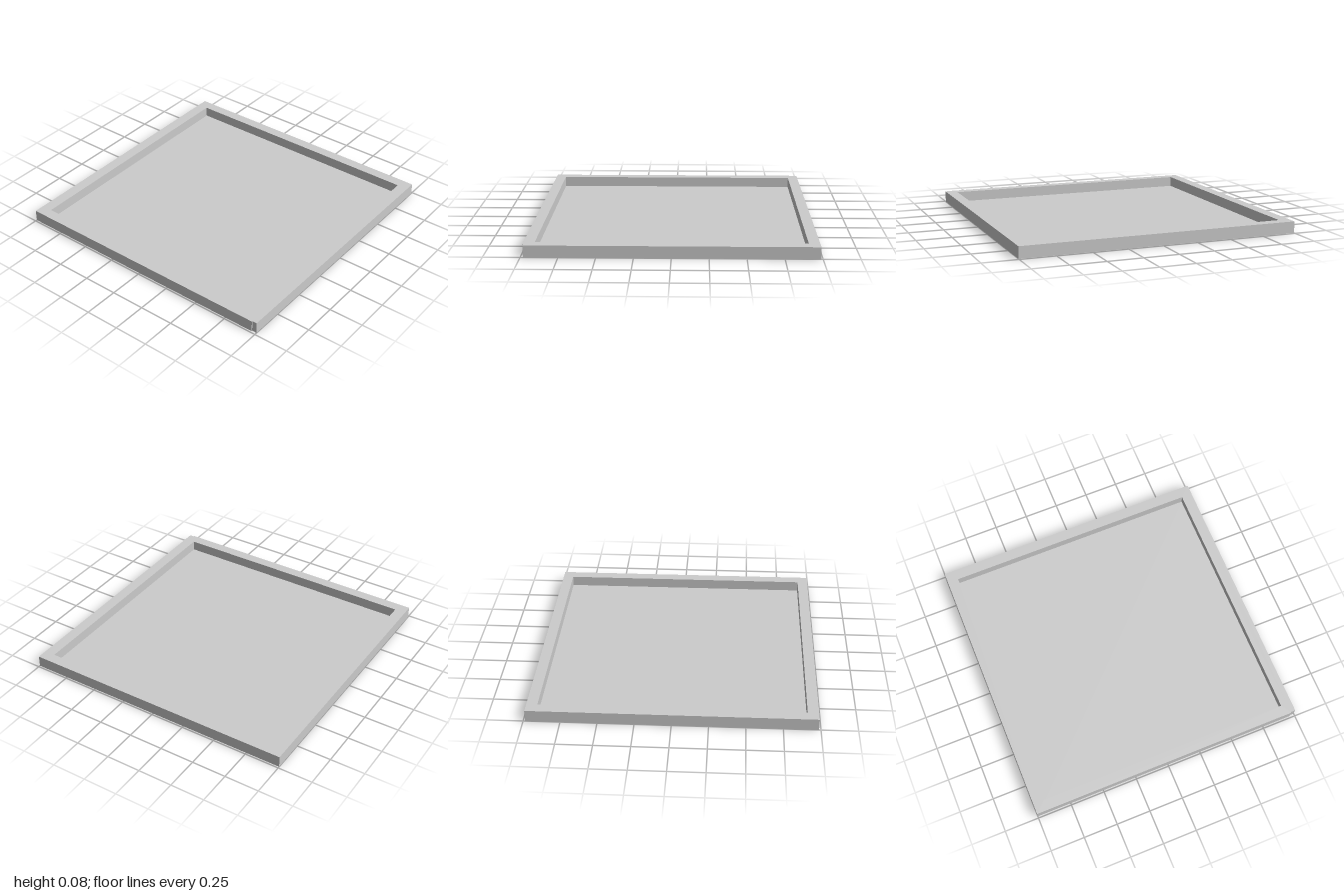
import * as THREE from 'three';

const material = new THREE.MeshStandardMaterial({ color: 0xcccccc, flatShading: true });
const FLOOR = 0.008; // floor thickness
const HEIGHT = 0.083; // overall height
const X = 1, Z = 0.987; // outer half sizes
const IX = 0.92, IZ = 0.911; // inner half sizes

// Outline in plan (shape y becomes -z), with the small step at the front left corner
function outline() {
  return new THREE.Shape([
    [-X, -Z], [0.965, -Z], [0.965, -Z + 0.006], [X, -Z + 0.006], [X, Z], [-X, Z],
  ].map(([x, y]) => new THREE.Vector2(x, y)));
}

// Upright slab from a plan shape
function slab(name, shape, y, depth) {
  const geometry = new THREE.ExtrudeGeometry(shape, { depth, bevelEnabled: false });
  geometry.rotateX(-Math.PI / 2);
  geometry.translate(0, y, 0);
  const mesh = new THREE.Mesh(geometry, material);
  mesh.name = name;
  return mesh;
}

export function createModel() {
  const group = new THREE.Group();
  group.name = 'tray';

  // Thin floor plate
  group.add(slab('floor', outline(), 0, FLOOR));

  // Raised rim around the edge
  const rim = outline();
  rim.holes.push(new THREE.Path([
    [-IX, -IZ], [-IX, IZ], [IX, IZ], [IX, -IZ],
  ].map(([x, y]) => new THREE.Vector2(x, y))));
  group.add(slab('rim', rim, FLOOR, HEIGHT - FLOOR));

  return group;
}
